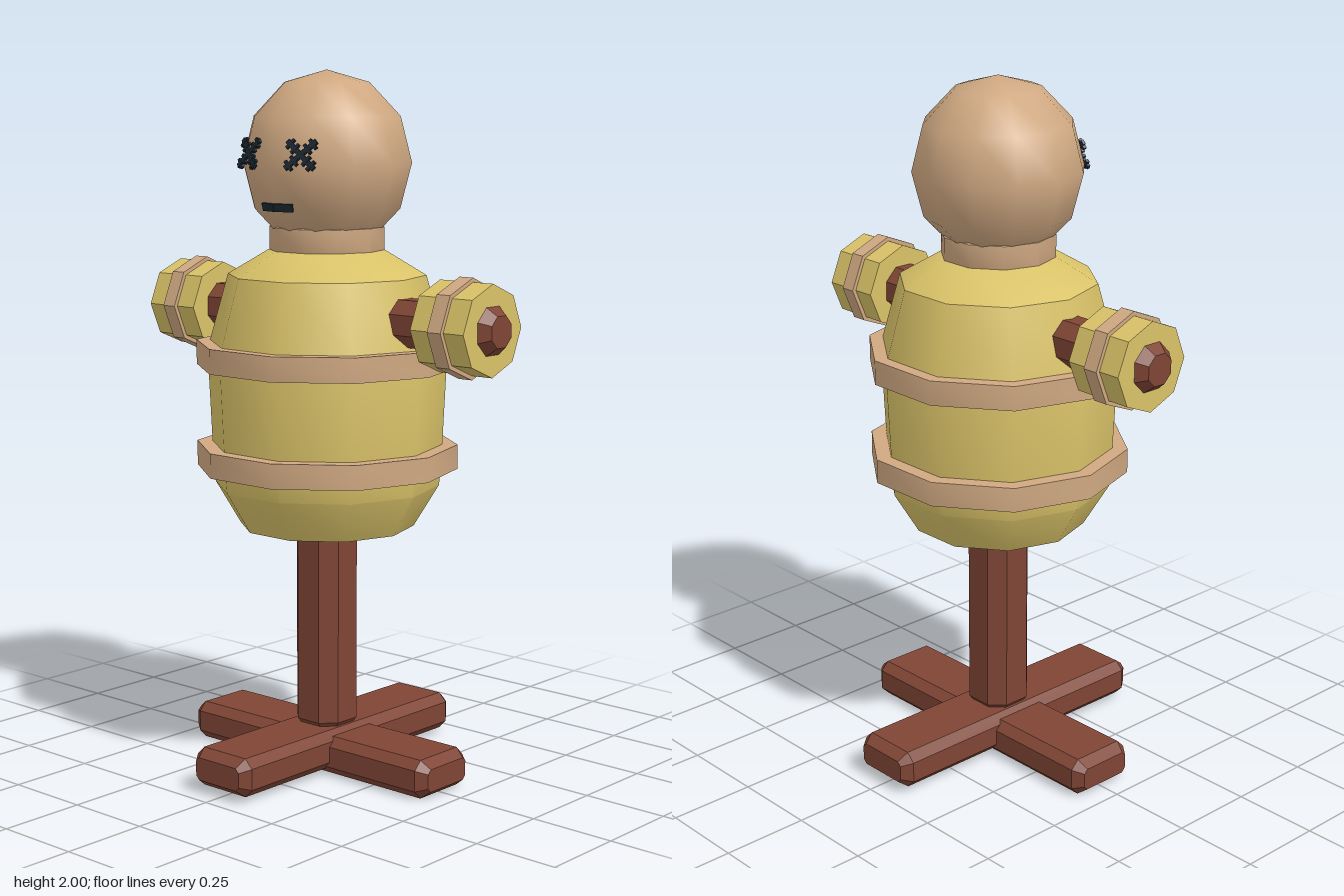
import * as THREE from 'three';
import { toCreasedNormals } from 'three/addons/utils/BufferGeometryUtils.js';

const material = (name, color) => new THREE.MeshStandardMaterial({ name, color });

export function createModel() {
  const wood = material('reddish wood', 0x7f4535);
  const straw = material('straw yellow', 0xd9c268);
  const tan = material('tan cloth', 0xcfa881);
  const thread = material('dark thread', 0x1c2833);
  const model = new THREE.Group();
  model.name = 'trainingDummy';

  function add(name, geometry, mat, parent = model) {
    const mesh = new THREE.Mesh(geometry, mat);
    mesh.name = name;
    parent.add(mesh);
    return mesh;
  }

  // Chamfered timber running along z, with tapered ends
  function beam(w, h, length, chamfer, taper) {
    const x = w / 2, y = h / 2, c = chamfer;
    const section = new THREE.Shape([
      [x, -y + c], [x, y - c], [x - c, y], [-x + c, y],
      [-x, y - c], [-x, -y + c], [-x + c, -y], [x - c, -y],
    ].map(([a, b]) => new THREE.Vector2(a, b)));
    return new THREE.ExtrudeGeometry(section, {
      depth: length - 2 * taper, bevelEnabled: true, bevelSegments: 1,
      bevelThickness: taper, bevelSize: taper * 0.75, bevelOffset: -taper * 0.75,
    }).translate(0, 0, -length / 2 + taper);
  }

  // Ten-sided turned form with a corner on each side of the model
  function turned(profile) {
    const points = profile.map(([r, y]) => new THREE.Vector2(r, y));
    return toCreasedNormals(new THREE.LatheGeometry(points, 10).rotateY(Math.PI / 2), 0.7);
  }

  // Crossed feet and post
  add('footBeamDepth', beam(0.21, 0.11, 0.91, 0.025, 0.03), wood).position.y = 0.073;
  const cross = add('footBeamWidth', beam(0.21, 0.11, 0.9, 0.025, 0.03), wood);
  cross.rotation.y = Math.PI / 2;
  cross.position.y = 0.0585;
  add('post', beam(0.16, 0.16, 0.65, 0.04, 0.02).rotateX(Math.PI / 2), wood).position.y = 0.445;

  // Stuffed body and its two straps
  add('body', turned([
    [0, 0.71], [0.25, 0.71], [0.322, 0.83], [0.328, 0.9], [0.342, 1.2],
    [0.335, 1.24], [0.282, 1.43], [0.165, 1.5], [0, 1.5],
  ]), straw);
  for (const [name, y] of [['lowerStrap', 0.913], ['upperStrap', 1.205]]) {
    add(name, turned([[0.32, -0.035], [0.374, -0.035], [0.374, 0.035], [0.32, 0.035]]), tan).position.y = y;
  }

  // Arm bar with a wrapped pad at each end
  add('armBar', beam(0.13, 0.13, 1.24, 0.037, 0.03).rotateY(Math.PI / 2), wood).position.y = 1.315;
  const drum = (r, length) =>
    toCreasedNormals(new THREE.CylinderGeometry(r, r, length, 8).rotateZ(Math.PI / 2), 0.7);
  for (const [side, label] of [[1, 'left'], [-1, 'right']]) {
    add(label + 'Pad', drum(0.126, 0.18), straw).position.set(side * 0.5, 1.315, 0);
    add(label + 'PadStrap', drum(0.138, 0.046), tan).position.set(side * 0.5, 1.315, 0);
  }

  // Neck and head
  add('neck', turned([[0.15, 1.48], [0.163, 1.5], [0.163, 1.565], [0.14, 1.58]]), tan);
  const head = add('head', new THREE.SphereGeometry(0.242, 12, 6), tan);
  head.scale.y = 0.255 / 0.242;
  head.position.y = 1.745;

  // Cross-stitched eyes
  for (const [side, label] of [[1, 'left'], [-1, 'right']]) {
    const eye = new THREE.Group();
    eye.name = label + 'Eye';
    eye.position.set(side * 0.096, 1.772, 0.2125);
    eye.rotation.set(-0.24, side * 0.27, 0, 'YXZ');
    model.add(eye);
    for (const turn of [1, -1]) {
      const stitch = new THREE.Group();
      stitch.name = 'stitchedLine';
      stitch.rotation.z = turn * 0.72;
      eye.add(stitch);
      add('thread', new THREE.BoxGeometry(0.115, 0.014, 0.008), thread, stitch);
      for (const x of [-0.045, -0.025, 0.025, 0.045]) {
        add('crossThread', new THREE.BoxGeometry(0.009, 0.032, 0.009), thread, stitch).position.x = x;
      }
    }
  }

  // Mouth, two halves following the face
  for (const side of [1, -1]) {
    const half = add('mouthHalf', new THREE.BoxGeometry(0.057, 0.022, 0.009), thread);
    half.position.set(side * 0.0275, 1.627, 0.207);
    half.rotation.set(0.25, side * 0.26, 0, 'YXZ');
  }

  return model;
}
